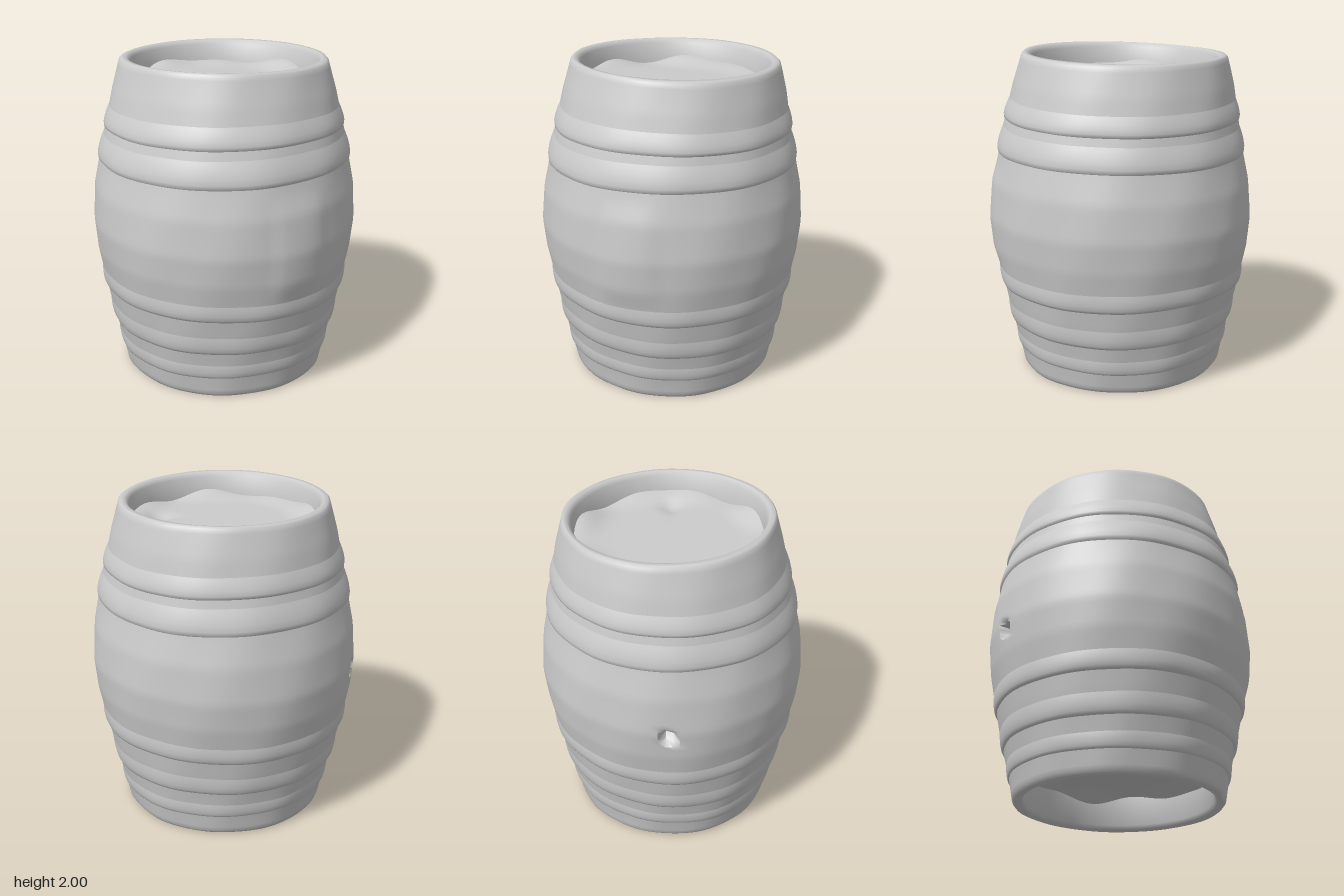
import * as THREE from 'three';
import { mergeVertices, toCreasedNormals } from 'three/addons/utils/BufferGeometryUtils.js';

const SEGMENTS = 120;
const { smoothstep } = THREE.MathUtils;
const material = new THREE.MeshStandardMaterial({ color: 0xcccccc, side: THREE.DoubleSide });

// Outer radius of the staves by height
const outline = [
  [0, 0.625], [0.02, 0.64], [0.12, 0.66], [0.3, 0.70], [0.45, 0.735], [0.6, 0.765],
  [0.8, 0.805], [0.98, 0.822], [1.2, 0.806], [1.36, 0.772], [1.5, 0.746], [1.66, 0.710],
  [1.8, 0.68], [1.97, 0.632],
];
function radiusAt(y) {
  for (let i = 1; i < outline.length; i++) {
    const [y0, r0] = outline[i - 1], [y1, r1] = outline[i];
    if (y <= y1) return r0 + (r1 - r0) * (y - y0) / (y1 - y0);
  }
  return outline[outline.length - 1][1];
}

// Hand-worn unevenness: wavy radius, tilted top rim, proud stave and bung hole
function wear(geometry) {
  const p = geometry.attributes.position;
  for (let i = 0; i < p.count; i++) {
    const x = p.getX(i), y = p.getY(i), z = p.getZ(i);
    const a = Math.atan2(x, z), r = Math.hypot(x, z);
    const outer = smoothstep(r, 0.58, 0.64);
    let dr = 0.003 * Math.sin(5 * a + 3 * y + 2) + 0.002 * Math.sin(11 * a - 7 * y) - 0.004 * Math.cos(2 * a);

    // Proud stave at the front, fading out at its ends
    const length = smoothstep(y, 0.65, 0.8) * (1 - smoothstep(y, 1.2, 1.34));
    dr += 0.008 * length * smoothstep(a, 0.53, 0.57) * (1 - smoothstep(a, 0.9, 1.0));

    // Bung hole in the right flank
    const hole = Math.hypot(x + 0.785, y - 0.95, z + 0.24);
    dr -= 0.09 * (1 - smoothstep(hole, 0.025, 0.06));

    const s = r > 0 ? (r + dr * outer) / r : 1;
    const high = smoothstep(y, 1.4, 2);
    const sway = outer * smoothstep(y, 0.02, 0.1) * 0.006 * Math.sin(2 * a + 4 * y);
    p.setXYZ(i, x * s, y + high * 0.022 * z + sway, z * s - 0.022 * high);
  }
  return geometry;
}

// Lathe a worn part with smooth normals below the crease angle
function turned(name, profile, crease) {
  const points = profile.map(([r, y]) => new THREE.Vector2(r, y));
  const g = new THREE.LatheGeometry(points, SEGMENTS);
  g.deleteAttribute('uv');
  g.deleteAttribute('normal');
  const mesh = new THREE.Mesh(toCreasedNormals(mergeVertices(wear(g), 1e-4), crease), material);
  mesh.name = name;
  return mesh;
}

// Recessed end board whose edge climbs the wall in uneven lumps
function endBoard(name, y, up) {
  const rows = [0, 0.15, 0.25, 0.32, 0.38, 0.43, 0.47, 0.51, 0.54, 0.575].map((r) => [r, y]);
  const board = turned(name, up ? rows.reverse() : rows, 1);
  const p = board.geometry.attributes.position;
  for (let i = 0; i < p.count; i++) {
    const x = p.getX(i), z = p.getZ(i), r = Math.hypot(x, z), a = Math.atan2(x, z);
    const lump = (0.03 + 0.018 * Math.sin(5 * a + 1) + 0.012 * Math.sin(8 * a)) * smoothstep(r, 0.4, 0.58);
    const dent = up ? 0.03 * Math.exp(-((x - 0.38) ** 2 + (z - 0.1) ** 2) / 0.004) : 0;
    p.setY(i, p.getY(i) + (up ? lump : -lump) - dent);
  }
  board.geometry = toCreasedNormals(board.geometry, 1);
  return board;
}

export function createModel() {
  const barrel = new THREE.Group();
  barrel.name = 'barrel';

  // Staves: inner wall of the foot, outer belly, rim and inner wall of the top
  const belly = [];
  for (let i = 0; i <= 72; i++) {
    const y = 0.02 + (1.95 * i) / 72;
    belly.push([radiusAt(y), y]);
  }
  barrel.add(turned('staves', [
    [0.57, 0.23], [0.57, 0.03], [0.585, 0.005], [0.625, 0], ...belly,
    [0.62, 1.982], [0.592, 1.982], [0.572, 1.955], [0.56, 1.82],
  ], 1.1));

  // Hoops: [bottom, top, thickness], each with a short lower edge and a long soft upper fade
  const hoops = [
    [0.13, 0.24, 0.008], [0.31, 0.45, 0.011], [0.55, 0.68, 0.012],
    [1.375, 1.55, 0.014], [1.58, 1.72, 0.013],
  ];
  hoops.forEach(([y0, y1, t], i) => {
    const at = (f, d) => {
      const y = y0 + (y1 - y0) * f;
      return [radiusAt(y) + d, y];
    };
    barrel.add(turned(`hoop${i + 1}`, [
      at(0, -0.006), at(0.08, t * 0.6), at(0.2, t), at(0.4, t),
      at(0.6, t * 0.75), at(0.8, t * 0.3), at(1, -0.003),
    ], 1.6));
  });

  barrel.add(endBoard('topBoard', 1.825, true));
  barrel.add(endBoard('bottomBoard', 0.225, false));

  return barrel;
}
